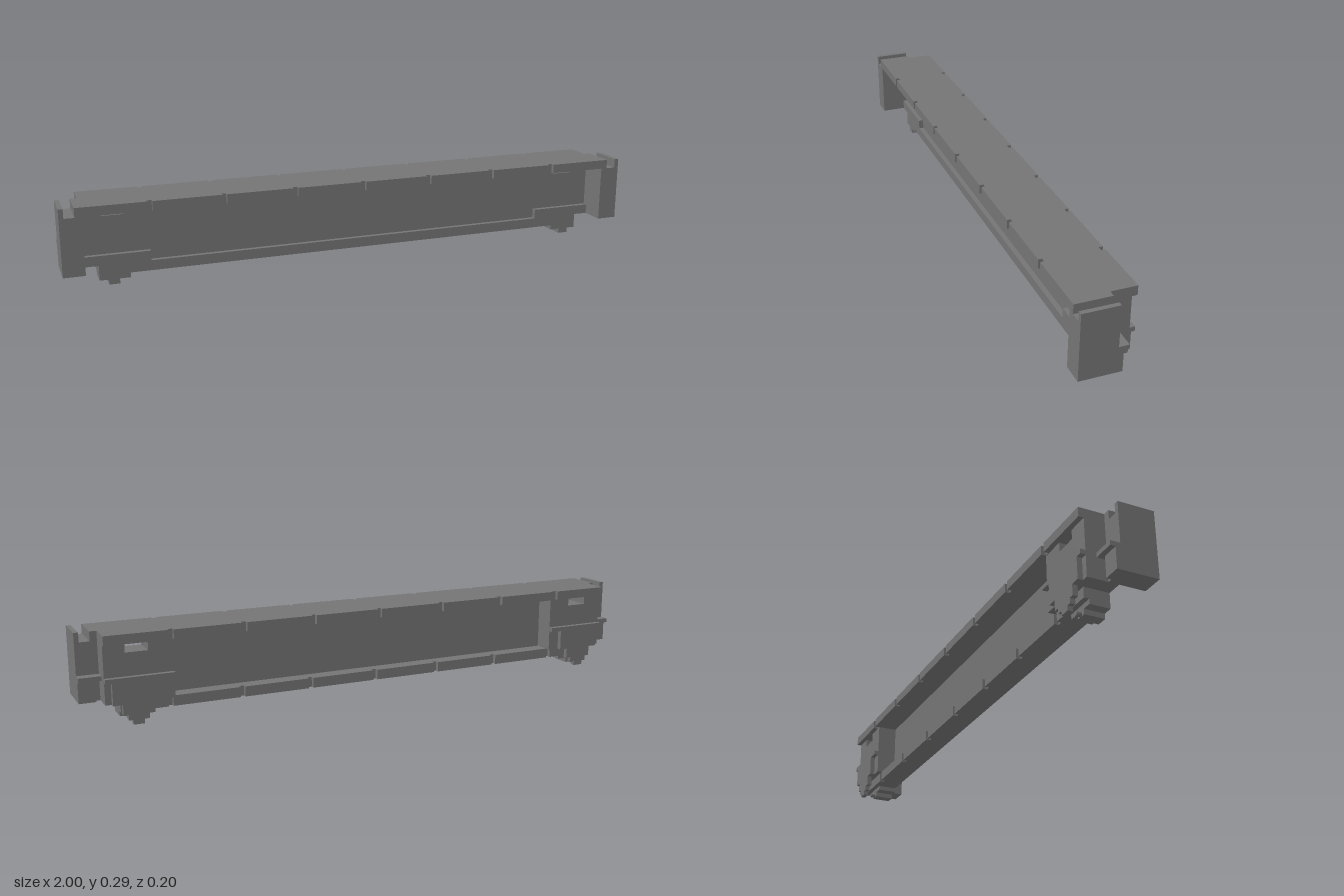
import * as THREE from 'three';

const grey = new THREE.MeshStandardMaterial({ color: 0x747474 });
grey.name = 'grey';

// Box given by its limits on each axis
function block(parent, name, x0, x1, y0, y1, z0, z1) {
  const mesh = new THREE.Mesh(new THREE.BoxGeometry(x1 - x0, y1 - y0, z1 - z0), grey);
  mesh.name = name;
  mesh.position.set((x0 + x1) / 2, (y0 + y1) / 2, (z0 + z1) / 2);
  parent.add(mesh);
}

// Flat outline pulled along z
function plate(parent, name, points, z0, z1) {
  const shape = new THREE.Shape(points.map(([x, y]) => new THREE.Vector2(x, y)));
  const geo = new THREE.ExtrudeGeometry(shape, { depth: z1 - z0, bevelEnabled: false });
  const mesh = new THREE.Mesh(geo, grey);
  mesh.name = name;
  mesh.position.z = z0;
  parent.add(mesh);
}

// Horizontal slab with evenly spaced notches along its long edges
const NOTCHES = [-0.72, -0.48, -0.24, 0, 0.24, 0.48, 0.72];
function notchedSlab(parent, name, half, y0, y1, zBack, zFront, frontNotches) {
  const w = 0.008, d = 0.014;
  const pts = [[-half, -zFront]];
  if (frontNotches) {
    for (const x of NOTCHES) {
      pts.push([x - w, -zFront], [x - w, -zFront + d], [x + w, -zFront + d], [x + w, -zFront]);
    }
  }
  pts.push([half, -zFront], [half, -zBack]);
  for (const x of [...NOTCHES].reverse()) {
    pts.push([x + w, -zBack], [x + w, -zBack - d], [x - w, -zBack - d], [x - w, -zBack]);
  }
  pts.push([-half, -zBack]);
  const shape = new THREE.Shape(pts.map(([x, y]) => new THREE.Vector2(x, y)));
  const geo = new THREE.ExtrudeGeometry(shape, { depth: y1 - y0, bevelEnabled: false });
  geo.rotateX(-Math.PI / 2);
  const mesh = new THREE.Mesh(geo, grey);
  mesh.name = name;
  mesh.position.y = y0;
  parent.add(mesh);
}

// One end of the beam; side is +1 or -1
function buildEnd(side) {
  const end = new THREE.Group();
  end.name = side > 0 ? 'leftEnd' : 'rightEnd';
  const box = (name, x0, x1, ...rest) =>
    block(end, name, Math.min(side * x0, side * x1), Math.max(side * x0, side * x1), ...rest);
  const mirrored = (pts) => pts.map(([x, y]) => [side * x, y]);

  // Hollow-topped housing with a slot right through
  plate(end, 'endHousing', mirrored([
    [0.71, 0.07], [0.93, 0.07], [0.93, 0.26], [0.862, 0.26],
    [0.862, 0.23], [0.79, 0.23], [0.79, 0.26], [0.71, 0.26],
  ]), -0.085, 0);
  box('frontStep', 0.71, 0.93, 0.07, 0.103, 0, 0.017);

  // Outer end block with its upright lip and rear clip
  box('endBlock', 0.93, 1, 0.07, 0.26, -0.017, 0.102);
  box('deckTongue', 0.93, 0.952, 0.26, 0.291, -0.017, 0.102);
  box('endLip', 0.985, 1, 0.26, 0.291, -0.017, 0.102);
  box('clipBody', 0.945, 1, 0.07, 0.14, -0.033, -0.017);
  box('clipLedge', 0.93, 1, 0.14, 0.155, -0.05, -0.017);

  // Rear bracket, stepping in towards its tip
  box('rearLedge', 0.71, 0.93, 0.14, 0.155, -0.102, -0.085);
  plate(end, 'rearBracket', mirrored([
    [0.75, 0.14], [0.75, 0.07], [0.78, 0.07], [0.78, 0.035], [0.798, 0.035], [0.798, 0.018],
    [0.815, 0.018], [0.815, 0.003], [0.85, 0.003], [0.85, 0.018], [0.864, 0.018],
    [0.864, 0.035], [0.88, 0.035], [0.88, 0.07], [0.91, 0.07], [0.91, 0.14],
  ]), -0.102, -0.085);

  // Front foot, in the same stepped form
  plate(end, 'foot', mirrored([
    [0.78, 0.036], [0.78, 0.02], [0.815, 0.02], [0.815, 0.003],
    [0.85, 0.003], [0.85, 0.02], [0.88, 0.02], [0.88, 0.036],
  ]), -0.05, 0.017);

  // Small pin at the back of the foot
  const pin = new THREE.Mesh(new THREE.CylinderGeometry(0.008, 0.008, 0.03, 12), grey);
  pin.name = 'footPin';
  pin.rotation.x = Math.PI / 2;
  pin.position.set(side * 0.832, 0.0105, -0.052);
  end.add(pin);
  return end;
}

export function createModel() {
  const beam = new THREE.Group();
  beam.name = 'channelBeam';

  // Top deck, web and bottom flange form the channel
  notchedSlab(beam, 'deck', 0.93, 0.26, 0.291, -0.102, 0.102, true);
  block(beam, 'web', -0.71, 0.71, 0.07, 0.26, -0.015, 0);
  notchedSlab(beam, 'bottomFlange', 0.88, 0.036, 0.07, -0.067, 0.017, false);

  for (const side of [1, -1]) beam.add(buildEnd(side));
  return beam;
}
